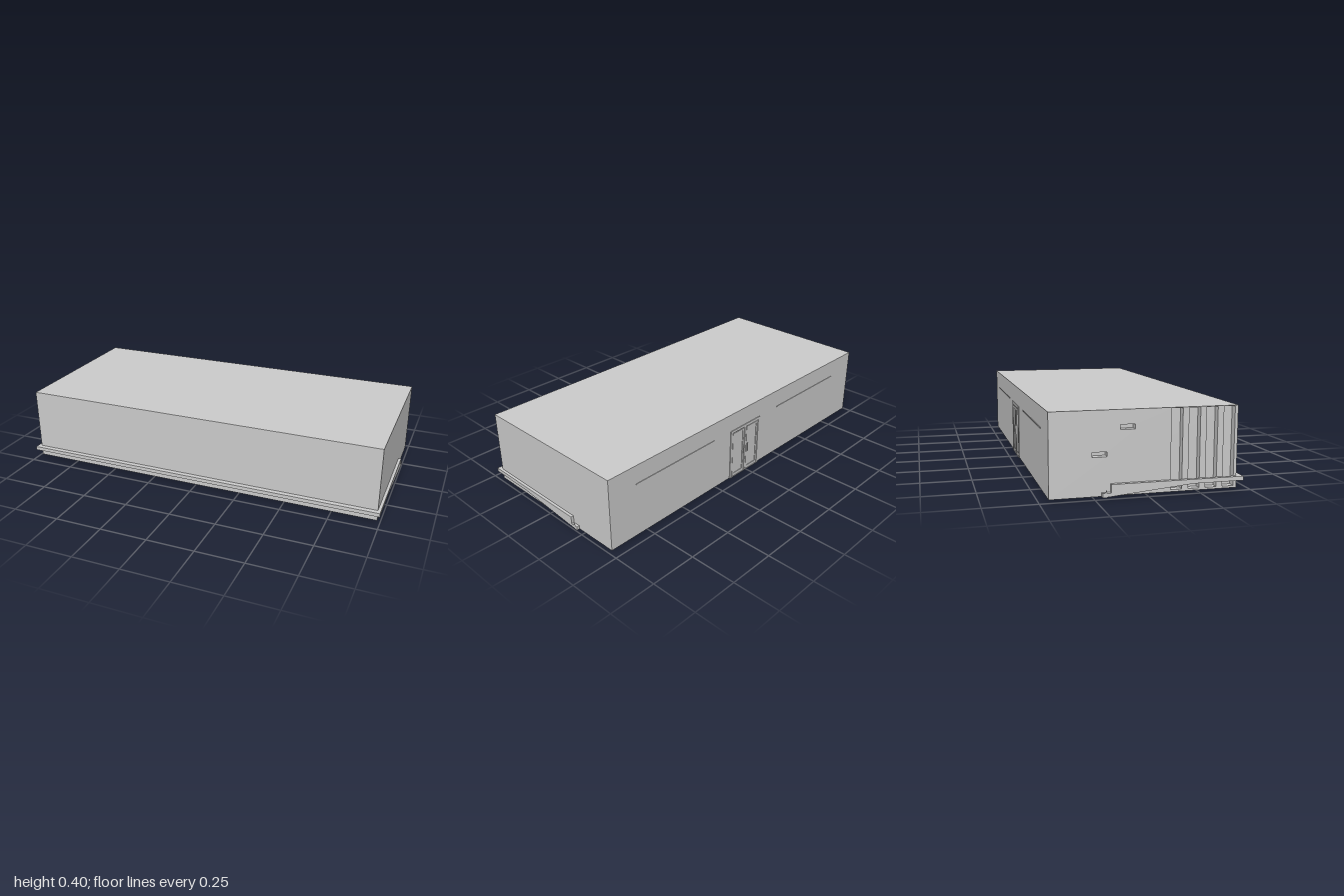
import * as THREE from 'three';

const grey = new THREE.MeshStandardMaterial({ color: 0xcccccc });
grey.name = 'plain grey';

function add(group, name, geometry) {
  const mesh = new THREE.Mesh(geometry, grey);
  mesh.name = name;
  group.add(mesh);
  return mesh;
}

// Box given by its limits on each axis
function block(group, name, x0, x1, y0, y1, z0, z1) {
  const mesh = add(group, name, new THREE.BoxGeometry(x1 - x0, y1 - y0, z1 - z0));
  mesh.position.set((x0 + x1) / 2, (y0 + y1) / 2, (z0 + z1) / 2);
}

const corners = (a0, a1, b0, b1) => [[a0, b0], [a1, b0], [a1, b1], [a0, b1]];

// Extruded outline with holes
function slab(outline, holes, depth) {
  const points = (list) => list.map(([a, b]) => new THREE.Vector2(a, b));
  const shape = new THREE.Shape(points(outline));
  for (const hole of holes) shape.holes.push(new THREE.Path(points(hole)));
  return new THREE.ExtrudeGeometry(shape, { depth, bevelEnabled: false });
}

// Slab drawn in z and y, reaching from x towards -x
function sideSlab(outline, holes, x, depth) {
  return slab(outline, holes, depth).rotateY(-Math.PI / 2).translate(x, 0, 0);
}

export function createModel() {
  const model = new THREE.Group();
  model.name = 'building';

  // Main hall
  block(model, 'hall', -0.945, 0.985, 0.01, 0.4, -0.455, 0.435);

  // End wall with tall recessed slots and two small slits
  const openings = [0.11, 0.195, 0.28, 0.365].map((z) => corners(z, z + 0.055, 0.02, 0.396));
  openings.push(corners(-0.26, -0.19, 0.19, 0.212), corners(-0.13, -0.06, 0.31, 0.332));
  add(model, 'slottedWall', sideSlab(corners(-0.455, 0.435, 0.01, 0.4), openings, -0.945, 0.035));

  // Ledge around the front, stepping down at both sides
  block(model, 'frontLedge', -1, 1, 0.047, 0.067, 0.435, 0.462);
  const stepped = [[0.435, 0.067], [-0.175, 0.067], [-0.175, 0.028], [-0.215, 0.028],
    [-0.215, 0.008], [-0.195, 0.008], [-0.195, 0.047], [0.435, 0.047]];
  add(model, 'rightLedge', sideSlab(stepped, [], -0.98, 0.02));
  add(model, 'leftLedge', sideSlab(stepped, [], 1, 0.015));

  // Double door at the back
  const door = new THREE.Group();
  door.name = 'backDoor';
  model.add(door);
  const leaves = [corners(-0.083, 0.018, 0.01, 0.285), corners(0.03, 0.13, 0.01, 0.285)];
  add(door, 'doorFrame', slab(corners(-0.095, 0.145, 0.008, 0.3), leaves, 0.004)).position.z = -0.459;
  for (const x of [-0.033, 0.08]) {
    add(door, 'doorLeaf', slab(corners(x - 0.047, x + 0.047, 0.014, 0.28),
      [corners(x - 0.035, x + 0.035, 0.03, 0.268)], 0.003)).position.z = -0.458;
  }
  for (const x of [0.002, 0.038]) {
    block(door, 'doorHandle', x, x + 0.008, 0.125, 0.175, -0.462, -0.455);
  }

  // Thin strips high on the back wall
  for (const [x0, x1] of [[-0.8, -0.25], [0.275, 0.82]]) {
    block(model, 'backStrip', x0, x1, 0.297, 0.302, -0.458, -0.455);
  }

  // Two clusters of small feet under the floor
  for (const centre of [-0.71, 0.48]) {
    const feet = new THREE.Group();
    feet.name = 'feet';
    model.add(feet);
    block(feet, 'wideFoot', centre - 0.018, centre + 0.018, 0.003, 0.01, -0.35, -0.31);
    for (const side of [-1, 1]) {
      for (const [dx, z] of [[0.14, -0.268], [0.105, -0.365], [0.125, -0.41]]) {
        const x = centre + side * dx;
        block(feet, 'smallFoot', x - 0.005, x + 0.005, 0, 0.01, z - 0.005, z + 0.005);
      }
    }
  }
  return model;
}
